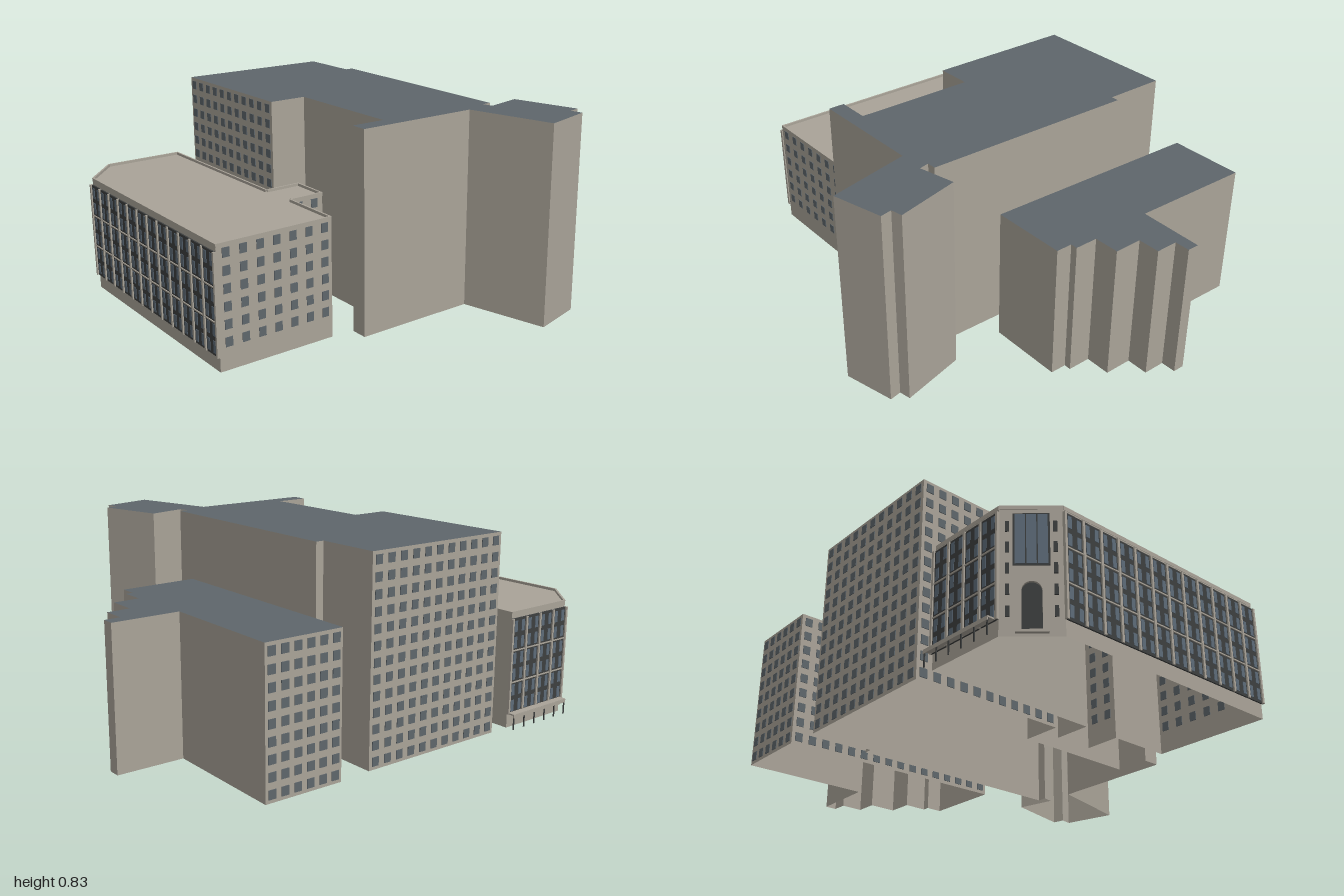
import * as THREE from 'three';
import { mergeGeometries } from 'three/addons/utils/BufferGeometryUtils.js';

const mat = (name, color) => new THREE.MeshStandardMaterial({ name, color, side: THREE.DoubleSide });

// Footprints as [x, z], ordered so each wall runs left to right seen from outside
const hallPlan = [[-0.998, 0.39], [-0.5, 0.39], [-0.5, 0.12], [-0.35, 0.12], [-0.35, -0.05],
  [-0.505, -0.05], [-0.51, -0.8], [-0.85, -0.8], [-0.995, -0.64]];
const towerPlan = [[-0.42, -0.8], [0.25, -0.79], [0.25, -0.52], [0.285, -0.52], [0.27, 0.43], [0.23, 0.43],
  [0.24, 0.475], [0.4, 0.44], [0.47, 0.72], [0.42, 0.73], [0.43, 0.78], [0.21, 0.835], [0.12, 0.47],
  [-0.405, 0.47], [-0.405, 0.4], [-0.26, 0.4], [-0.26, -0.13], [-0.42, -0.13]].reverse();
const annexPlan = [[0.395, -0.8], [0.73, -0.79], [0.72, -0.255], [1, -0.245], [1, -0.195], [0.935, -0.195],
  [0.935, -0.1], [0.84, -0.1], [0.84, 0.02], [0.73, 0.02], [0.73, 0.12], [0.7, 0.12], [0.7, 0.19],
  [0.37, 0.19]].reverse();

function box(w, h, d, x, y, z) {
  return new THREE.BoxGeometry(w, h, d).translate(x, y, z);
}

function mesh(name, geos, material) {
  const m = new THREE.Mesh(Array.isArray(geos) ? mergeGeometries(geos) : geos, material);
  m.name = name;
  return m;
}

// Group on a wall: local x along it, y up, z outward
function onWall(name, a, b) {
  const g = new THREE.Group();
  g.name = name;
  g.position.set(a[0], 0, a[1]);
  g.rotation.y = Math.atan2(a[1] - b[1], b[0] - a[0]);
  g.userData.length = Math.hypot(b[0] - a[0], b[1] - a[1]);
  return g;
}

// Open-bottomed block: one quad per wall and a flat roof
function block(name, plan, height, roofY, wallMat, roofMat) {
  const g = new THREE.Group();
  g.name = name;
  const walls = plan.map((a, i) => {
    const b = plan[(i + 1) % plan.length];
    const len = Math.hypot(b[0] - a[0], b[1] - a[1]);
    return new THREE.PlaneGeometry(len, height)
      .rotateY(Math.atan2(a[1] - b[1], b[0] - a[0]))
      .translate((a[0] + b[0]) / 2, height / 2, (a[1] + b[1]) / 2);
  });
  const shape = new THREE.Shape(plan.map(([x, z]) => new THREE.Vector2(x, -z)));
  const roof = new THREE.ShapeGeometry(shape).rotateX(-Math.PI / 2).translate(0, roofY, 0);
  g.add(mesh('walls', walls, wallMat), mesh('roof', roof, roofMat));
  return g;
}

// Regular grid of window panes, showing on both faces of the wall
function windowGrid(a, b, xs, ys, w, h, material) {
  const g = onWall('windowWall', a, b);
  const panes = [];
  for (const x of xs) for (const y of ys) panes.push(box(w, h, 0.006, x, y, 0));
  g.add(mesh('windows', panes, material));
  return g;
}

const spread = (n, from, to) => Array.from({ length: n }, (_, i) => from + (to - from) * (n > 1 ? i / (n - 1) : 0.5));
const cells = (n, len) => spread(n, len / n / 2, len - len / n / 2);

// Curtain wall: dark frame, glass cells, pilasters and rails
function curtainWall(a, b, bays, m) {
  const g = onWall('curtainWall', a, b);
  const len = g.userData.length, y0 = 0.06, y1 = 0.465, rows = 6;
  const pitch = len / bays, strip = pitch / 2, rowH = (y1 - y0) / rows;
  const glass = [], inner = [], piers = [];
  for (let i = 0; i < bays * 2; i++) {
    const x = (i + 0.5) * strip;
    inner.push(box(strip * 0.6, y1 - y0, 0.004, x, (y0 + y1) / 2, -0.003));
    for (let r = 0; r < rows; r++)
      glass.push(box(strip * 0.42, rowH * 0.7, 0.003, x, y0 + (r + 0.5) * rowH, 0.0075));
  }
  for (let i = 0; i <= bays; i++) piers.push(box(0.01, y1 - y0, 0.012, i * pitch, (y0 + y1) / 2, 0.007));
  for (const y of [y0 + rowH * 2, y0 + rowH * 4]) piers.push(box(len, 0.005, 0.008, len / 2, y, 0.007));
  g.add(
    mesh('frame', box(len, y1 - y0, 0.006, len / 2, (y0 + y1) / 2, 0.004), m.frame),
    mesh('glass', glass, m.glass),
    mesh('innerGlass', inner, m.glass),
    mesh('pilasters', piers, m.stone));
  return g;
}

export function createModel() {
  const m = {
    stone: mat('stone', 0xa9a398),
    slate: mat('slate', 0x5e666b),
    glass: mat('glass', 0x5d6b78),
    frame: mat('darkFrame', 0x3d3f3f),
  };
  const model = new THREE.Group();
  model.name = 'buildingComplex';

  // Tall central tower with windows on the back and right walls
  const tower = block('tower', towerPlan, 0.83, 0.83, m.stone, m.slate);
  const towerRows = cells(13, 0.83);
  tower.add(
    windowGrid([0.25, -0.79], [-0.42, -0.8], cells(11, 0.67), towerRows, 0.032, 0.036, m.slate),
    windowGrid([-0.42, -0.8], [-0.42, -0.13], cells(11, 0.67), towerRows, 0.032, 0.036, m.slate));

  // Stepped annex
  const annex = block('annex', annexPlan, 0.58, 0.58, m.stone, m.slate);
  const annexRows = cells(9, 0.58);
  annex.add(
    windowGrid([0.73, -0.79], [0.395, -0.8], cells(6, 0.335), annexRows, 0.032, 0.036, m.slate),
    windowGrid([0.395, -0.8], [0.37, 0.19], cells(16, 0.99), annexRows, 0.032, 0.036, m.slate));

  // Low hall with recessed roof, punched front windows and curtain walls
  const hall = block('hall', hallPlan, 0.49, 0.482, m.stone, m.stone);
  const hallRows = spread(6, 0.112, 0.455);
  hall.add(
    windowGrid([-0.998, 0.39], [-0.5, 0.39], spread(7, 0.04, 0.466), hallRows, 0.03, 0.037, m.slate),
    windowGrid([-0.5, 0.12], [-0.35, 0.12], spread(2, 0.038, 0.109), hallRows, 0.03, 0.037, m.slate),
    curtainWall([-0.995, -0.64], [-0.998, 0.39], 12, m),
    curtainWall([-0.51, -0.8], [-0.85, -0.8], 4, m));

  // Parapet round the hall roof
  hallPlan.forEach((a, i) => {
    const rim = onWall('parapet', a, hallPlan[(i + 1) % hallPlan.length]);
    const len = rim.userData.length;
    rim.add(mesh('coping', box(len, 0.016, 0.008, len / 2, 0.485, -0.003), m.stone));
    hall.add(rim);
  });

  // Entrance on the chamfered corner
  const entry = onWall('entrance', [-0.85, -0.8], [-0.995, -0.64]);
  const c = entry.userData.length / 2;
  const gable = new THREE.Shape([[-0.055, 0], [0.055, 0], [0.055, 0.2], [0, 0.235], [-0.055, 0.2]]
    .map(([x, y]) => new THREE.Vector2(x, y)));
  const opening = new THREE.Path();
  opening.moveTo(-0.034, 0.01).lineTo(-0.034, 0.15).absarc(0, 0.15, 0.034, Math.PI, 0, true)
    .lineTo(0.034, 0.01).closePath();
  gable.holes.push(opening);
  const portal = new THREE.ExtrudeGeometry(gable, { depth: 0.014, bevelEnabled: false, curveSegments: 8 });
  entry.add(
    mesh('portal', portal.translate(c, 0.01, 0.001), m.stone),
    mesh('doorway', box(0.08, 0.19, 0.004, c, 0.105, 0.003), m.frame),
    mesh('tallWindowFrame', box(0.124, 0.2, 0.004, c, 0.36, 0.003), m.frame),
    mesh('tallWindow', spread(3, c - 0.038, c + 0.038).map(x => box(0.034, 0.19, 0.006, x, 0.36, 0.004)), m.glass),
    mesh('sideWindows', [-0.08, 0.08].flatMap(x => cells(5, 0.4).map(y => box(0.014, 0.04, 0.004, c + x, y + 0.05, 0.003))), m.frame));
  hall.add(entry);

  // Canopy along the back of the hall
  const canopy = new THREE.Group();
  canopy.name = 'canopy';
  canopy.add(
    mesh('canopyRoof', box(0.335, 0.006, 0.038, -0.675, 0.064, -0.82), m.stone),
    mesh('canopyFascia', box(0.335, 0.014, 0.004, -0.675, 0.058, -0.838), m.stone),
    mesh('canopyPosts', spread(6, -0.838, -0.512).map(x => box(0.005, 0.06, 0.004, x, 0.03, -0.836)), m.frame));
  hall.add(canopy);

  model.add(tower, annex, hall);
  return model;
}
